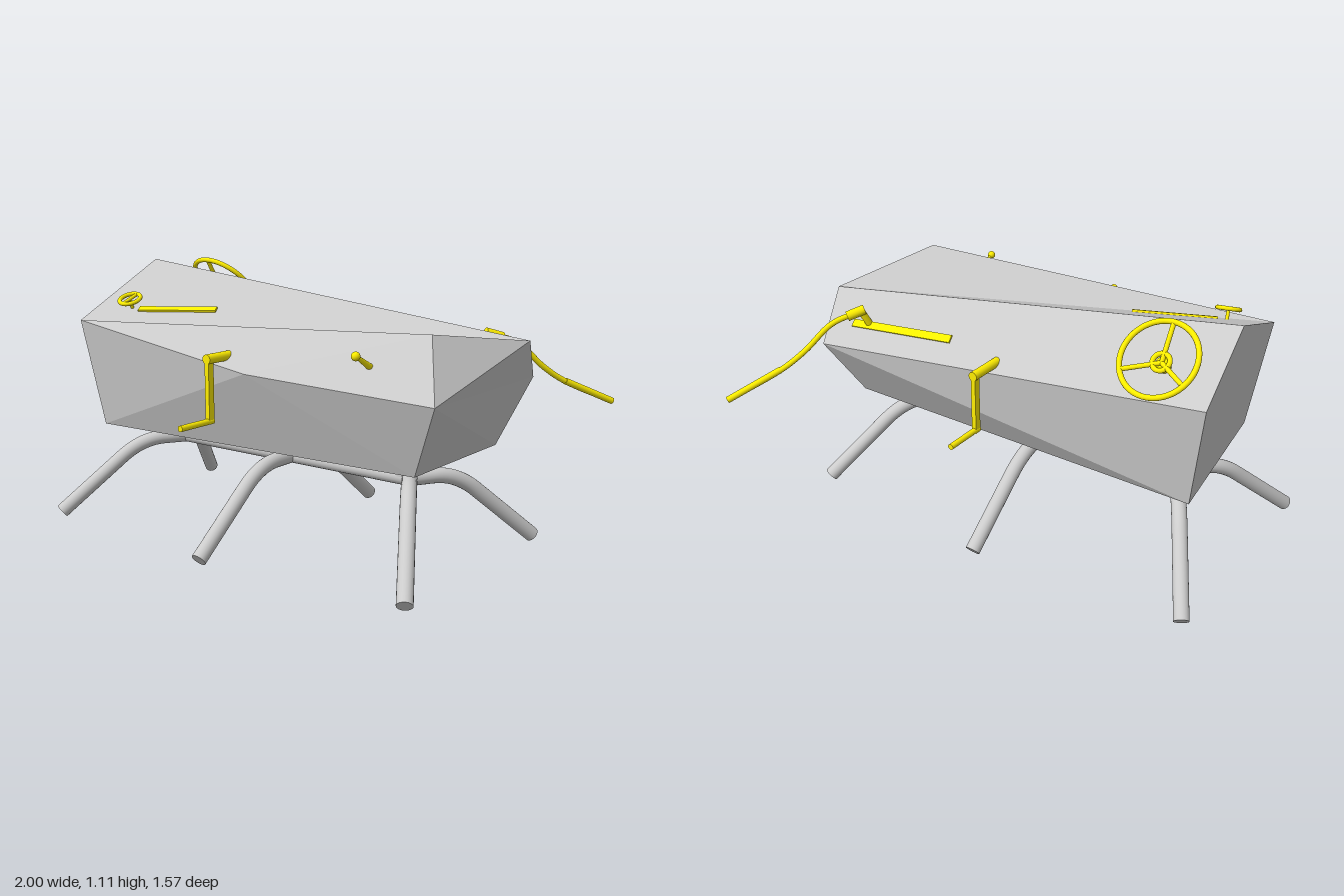
import * as THREE from 'three';

const grey = new THREE.MeshStandardMaterial({ color: 0xcccccc });
const facet = new THREE.MeshStandardMaterial({ color: 0xcccccc, flatShading: true });
const yellow = new THREE.MeshStandardMaterial({ color: 0xffee00 });
const UP = new THREE.Vector3(0, 1, 0);
const V = (x, y, z) => new THREE.Vector3(x, y, z);
const MID = 0.06; // z of the rail, about which the frame and cranks mirror

export function createModel() {
  const model = new THREE.Group();
  model.name = 'crankMachine';

  const add = (name, geometry, material, parent = model) => {
    const mesh = new THREE.Mesh(geometry, material);
    mesh.name = name;
    parent.add(mesh);
    return mesh;
  };
  // Cylinder running from point a to point b
  const rod = (name, a, b, r, material, parent = model, r2 = r) => {
    const dir = b.clone().sub(a);
    const mesh = add(name, new THREE.CylinderGeometry(r2, r, dir.length(), 20), material, parent);
    mesh.position.copy(a).lerp(b, 0.5);
    mesh.quaternion.setFromUnitVectors(UP, dir.normalize());
    return mesh;
  };

  // Faceted body: corners and the planar faces that join them
  const P = {
    A: [-0.94, 1.10, -0.05], B: [-0.84, 0.88, 0.50], C: [0.765, 0.935, 0.285],
    D: [0.90, 0.866, -0.21], E: [0.877, 0.711, 0.443], F: [0.82, 0.688, -0.412],
    G: [-0.94, 0.865, -0.31], M: [0.08, 0.75, 0.51], H: [-0.786, 0.425, 0.43],
    I: [0.743, 0.425, 0.35], J: [-0.877, 0.425, -0.255], K: [0.743, 0.425, -0.255],
  };
  const faces = ['ABD', 'BCD', 'BMC', 'MEC', 'BHM', 'MHIE', 'CED', 'EIKFD',
    'FKJ', 'FJG', 'DFGA', 'AGJHB', 'HJKI'];
  const corners = [];
  for (const f of faces) {
    for (let i = 1; i < f.length - 1; i++) corners.push(...P[f[0]], ...P[f[i]], ...P[f[i + 1]]);
  }
  const bodyGeo = new THREE.BufferGeometry();
  bodyGeo.setAttribute('position', new THREE.Float32BufferAttribute(corners, 3));
  bodyGeo.computeVertexNormals();
  add('body', bodyGeo, facet);

  // Tubular frame: a rail with three pairs of bent legs
  const frame = new THREE.Group();
  frame.name = 'frame';
  model.add(frame);
  const railY = 0.323, pipeR = 0.031;
  rod('rail', V(-0.66, railY, MID), V(0.54, railY, MID), pipeR, grey, frame);
  for (const [hub, dx, dz] of [[-0.66, -0.305, 0.485], [-0.05, 0, 0.58], [0.54, 0.295, 0.485]]) {
    const joint = add('legJoint', new THREE.SphereGeometry(pipeR, 20, 12), grey, frame);
    joint.position.set(hub, railY, MID);
    for (const s of [1, -1]) {
      const at = (t, y) => V(hub + dx * t, y, MID + s * dz * t);
      const foot = at(1, 0.023), knee = at(0.36, railY);
      const bendIn = at(0.18, railY), bendOut = knee.clone().lerp(foot, 0.25);
      const path = new THREE.CurvePath();
      path.add(new THREE.LineCurve3(at(0, railY), bendIn));
      path.add(new THREE.QuadraticBezierCurve3(bendIn, knee, bendOut));
      path.add(new THREE.LineCurve3(bendOut, foot));
      add('leg', new THREE.TubeGeometry(path, 40, pipeR, 20), grey, frame);
      const cap = add('footCap', new THREE.CircleGeometry(pipeR, 20), grey, frame);
      cap.position.copy(foot);
      cap.lookAt(foot.clone().multiplyScalar(2).sub(knee));
    }
  }

  // Bolted pedestals between rail and body
  for (const x of [-0.63, 0.51]) {
    const mount = new THREE.Group();
    mount.name = 'pedestal';
    mount.position.set(x, 0, MID);
    model.add(mount);
    rod('pedestalPost', V(0, 0.33, 0), V(0, 0.425, 0), 0.032, grey, mount);
    for (const [y, w, d] of [[0.418, 0.08, 0.13], [0.401, 0.08, 0.13], [0.36, 0.06, 0.11]]) {
      add('flange', new THREE.BoxGeometry(w, 0.008, d), grey, mount).position.y = y;
    }
    for (const bx of [-0.03, 0.03]) for (const bz of [-0.055, 0.055]) {
      rod('bolt', V(bx, 0.39, bz), V(bx, 0.425, bz), 0.008, grey, mount);
    }
  }

  // Hand cranks on front and back
  for (const s of [1, -1]) {
    const crank = new THREE.Group();
    crank.name = s > 0 ? 'frontCrank' : 'backCrank';
    crank.position.set(-0.035, 0, MID);
    model.add(crank);
    rod('axle', V(0, 0.805, s * 0.37), V(0, 0.805, s * 0.53), 0.019, yellow, crank);
    const arm = add('crankArm', new THREE.BoxGeometry(0.02, 0.265, 0.028), yellow, crank);
    arm.position.set(0, 0.688, s * 0.515);
    rod('crankHandle', V(0, 0.565, s * 0.5), V(0, 0.565, s * 0.678), 0.012, yellow, crank);
  }

  // Wheel whose local y axis is its shaft, turned to face along a normal
  const wheel = (name, centre, normal, R, tube, spokes, dish, shaft) => {
    const g = new THREE.Group();
    g.name = name;
    g.position.copy(centre);
    g.quaternion.setFromUnitVectors(UP, normal.normalize());
    model.add(g);
    add('rim', new THREE.TorusGeometry(R, tube, 12, 48), yellow, g).rotation.x = Math.PI / 2;
    for (let i = 0; i < spokes; i++) {
      const a = Math.PI / 2 + (i / spokes) * Math.PI * 2;
      rod('spoke', V(0, -dish, 0), V(Math.cos(a) * R, 0, Math.sin(a) * R), tube * 0.85, yellow, g);
    }
    rod('shaft', V(0, -shaft, 0), V(0, -dish, 0), R * 0.16, yellow, g);
    return g;
  };
  const steering = wheel('steeringWheel', V(-0.72, 0.995, -0.27), V(0.03, 0.72, -0.69), 0.15, 0.011, 3, 0.035, 0.12);
  const hub = add('hubRing', new THREE.TorusGeometry(0.034, 0.01, 10, 28), yellow, steering);
  hub.rotation.x = Math.PI / 2;
  hub.position.y = -0.028;
  wheel('slideKnob', V(-0.705, 0.965, 0.34), V(0.1, 0.9, 0.38), 0.045, 0.009, 2, 0, 0.05);

  // Flat guide strips lying on sloping faces
  const strip = (name, a, b, normal, width) => {
    const along = b.clone().sub(a), n = normal.normalize();
    const mesh = add(name, new THREE.BoxGeometry(along.length(), 0.012, width), yellow);
    const xAxis = along.normalize(), zAxis = xAxis.clone().cross(n).normalize();
    mesh.quaternion.setFromRotationMatrix(new THREE.Matrix4().makeBasis(xAxis, zAxis.clone().cross(xAxis), zAxis));
    mesh.position.copy(a).lerp(b, 0.5);
  };
  strip('frontGuideStrip', V(-0.67, 0.921, 0.322), V(-0.36, 0.928, 0.175), V(0.148, 0.927, 0.344), 0.034);
  strip('backGuideStrip', V(0.21, 0.827, -0.292), V(0.72, 0.777, -0.318), V(0.036, 0.741, -0.67), 0.034);

  // Long bent lever on the back
  const lever = new THREE.Group();
  lever.name = 'backLever';
  model.add(lever);
  rod('leverPost', V(0.635, 0.775, -0.30), V(0.655, 0.855, -0.335), 0.015, yellow, lever);
  rod('leverSleeve', V(0.645, 0.862, -0.325), V(0.69, 0.84, -0.385), 0.021, yellow, lever);
  const leverPath = new THREE.CatmullRomCurve3([V(0.66, 0.855, -0.345), V(0.73, 0.815, -0.44),
    V(0.80, 0.71, -0.54), V(0.855, 0.645, -0.625), V(0.985, 0.545, -0.815)]);
  add('leverArm', new THREE.TubeGeometry(leverPath, 40, 0.012, 12), yellow, lever);
  rod('leverGrip', V(0.86, 0.642, -0.63), V(0.99, 0.542, -0.822), 0.014, yellow, lever);

  // Small toggle on the front
  const toggle = new THREE.Group();
  toggle.name = 'toggle';
  model.add(toggle);
  rod('toggleStem', V(0.577, 0.812, 0.39), V(0.577, 0.865, 0.482), 0.013, yellow, toggle, 0.007);
  add('toggleBall', new THREE.SphereGeometry(0.017, 20, 14), yellow, toggle).position.set(0.577, 0.865, 0.484);

  return model;
}
